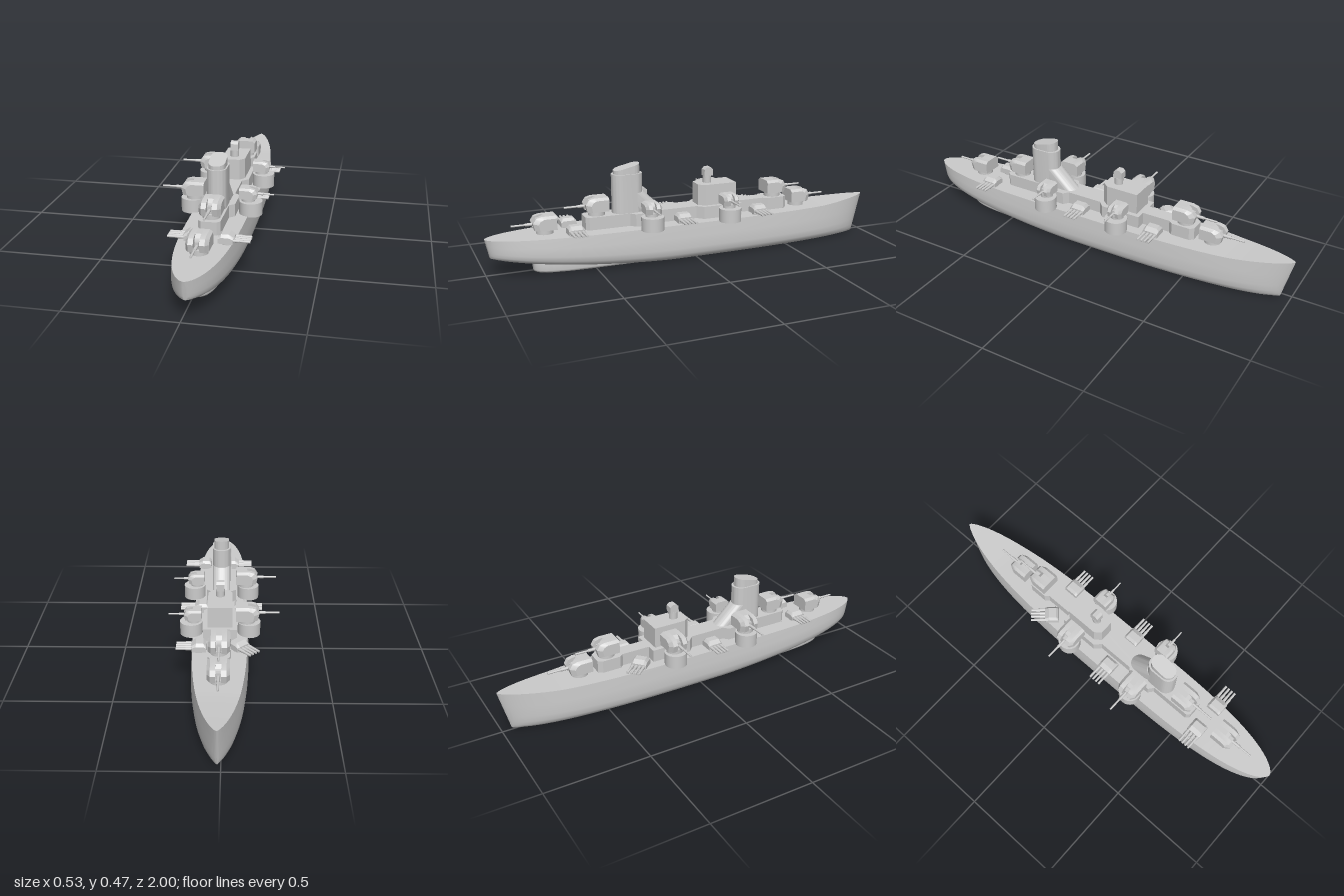
import * as THREE from 'three';
import { toCreasedNormals } from 'three/addons/utils/BufferGeometryUtils.js';

const grey = new THREE.MeshStandardMaterial({ color: 0xcccccc });

function add(parent, name, geometry, x = 0, y = 0, z = 0) {
  const mesh = new THREE.Mesh(geometry, grey);
  mesh.name = name;
  mesh.position.set(x, y, z);
  parent.add(mesh);
  return mesh;
}

// Skin closed rings of [x, y, z] points; optionally cap both ends with fans.
function loft(rings, crease, caps) {
  const n = rings[0].length, last = rings.length - 1, idx = [];
  for (let i = 0; i < last; i++) {
    for (let j = 0; j < n; j++) {
      const k = (j + 1) % n, a = i * n + j, b = i * n + k;
      idx.push(a, b, a + n, b, b + n, a + n);
    }
  }
  if (caps) {
    for (let j = 1; j < n - 1; j++) {
      idx.push(0, j + 1, j, last * n, last * n + j, last * n + j + 1);
    }
  }
  const g = new THREE.BufferGeometry();
  g.setAttribute('position', new THREE.Float32BufferAttribute(rings.flat(2), 3));
  g.setIndex(idx);
  return toCreasedNormals(g, crease);
}

// Upright prism from a plan outline given as x, z.
function prism(shape, y0, y1, bevel = 0) {
  const g = new THREE.ExtrudeGeometry(shape, {
    depth: y1 - y0 - 2 * bevel, curveSegments: 16, bevelEnabled: bevel > 0,
    bevelSize: bevel, bevelThickness: bevel, bevelOffset: -bevel, bevelSegments: 3,
  });
  g.rotateX(Math.PI / 2).translate(0, y1 - bevel, 0);
  return toCreasedNormals(g, 0.6);
}

function outline(pts) {
  return new THREE.Shape(pts.map(p => new THREE.Vector2(...p)));
}

// Plan with straight sides and round ends.
function stadium(r, z0, z1) {
  const s = new THREE.Shape();
  s.absarc(0, z1 - r, r, 0, Math.PI);
  s.absarc(0, z0 + r, r, Math.PI, 2 * Math.PI);
  return s;
}

function bendVertices(g, rule) {
  const p = g.attributes.position, v = new THREE.Vector3();
  for (let i = 0; i < p.count; i++) {
    rule(v.fromBufferAttribute(p, i));
    p.setXYZ(i, v.x, v.y, v.z);
  }
  g.computeVertexNormals();
  return toCreasedNormals(g, 0.6);
}

const cylinder = (r, h, seg = 32) => new THREE.CylinderGeometry(r, r, h, seg);

// Hull: half sections, keel to deck edge, as fractions of beam and depth.
function hullGeometry() {
  const mid = [[0, 0], [0.6, 0], [0.77, 0.025], [0.9, 0.09], [0.97, 0.19], [1, 0.35], [0.985, 0.65], [0.95, 1]];
  const rings = [], count = 64;
  for (let i = 0; i <= count; i++) {
    const z = -Math.cos(Math.PI * i / count), u = Math.min(1, Math.abs(z));
    const w = 0.138 * (z < 0 ? Math.pow(1 - u ** 3, 0.72) : Math.pow(1 - u ** 4, 0.58));
    const top = 0.18 + 0.02 * Math.max(0, (-z - 0.7) / 0.3) ** 1.3;
    const bottom = 0.09 * Math.max(0, (z - 0.1) / 0.9) ** 1.6;
    const rake = (z < 0 ? 0.05 : 0.02) * u ** 6;
    const half = mid.map(([fx, fy]) =>
      [fx * w, bottom + (top - bottom) * fy, z * (1 - rake * (1 - fy))]);
    const other = half.slice(1).reverse().map(([x, y, zz]) => [-x, y, zz]);
    rings.push([...half, ...other]);
  }
  return loft(rings, 0.6, false);
}

// Armoured housing: side profiles [z, y] placed across x.
function housing(sections) {
  return loft(sections.map(([x, prof]) => prof.map(([z, y]) => [x, y, z])), 0.35, true);
}

function barrel(parent, name, x, y, z0, z1, r) {
  add(parent, name, cylinder(r, z1 - z0, 12).rotateX(Math.PI / 2), x, y, (z0 + z1) / 2);
}

// Gun turret facing +z with a slotted front
function turret(name, x, y, z, yaw, scale = 1) {
  const t = new THREE.Group();
  t.name = name;
  const full = [[-0.05, 0], [-0.05, 0.065], [0.02, 0.065], [0.045, 0.058], [0.06, 0.035], [0.052, 0]];
  const slot = [[-0.05, 0], [-0.05, 0.065], [0.005, 0.065], [0.022, 0.05], [0.03, 0.03], [0.03, 0]];
  const cheek = [[-0.05, 0], [-0.05, 0.054], [0.01, 0.054], [0.028, 0.045], [0.036, 0.03], [0.03, 0]];
  add(t, 'turretHousing', housing([
    [-0.05, cheek], [-0.036, full], [-0.013, full], [-0.013, slot],
    [0.013, slot], [0.013, full], [0.036, full], [0.05, cheek],
  ]), 0, 0.022, 0);
  add(t, 'turretPedestal', cylinder(0.04, 0.024), 0, 0.012, 0);
  add(t, 'gunCradle', new THREE.BoxGeometry(0.018, 0.03, 0.03), 0, 0.05, 0.03);
  barrel(t, 'gunSleeve', 0, 0.047, 0.03, 0.09, 0.0075);
  barrel(t, 'gunBarrel', 0, 0.047, 0.08, 0.155, 0.0048);
  t.position.set(x, y, z);
  t.rotation.y = yaw;
  t.scale.setScalar(scale);
  return t;
}

// Light mount with four barrels side by side
function quadMount(x, z, yaw) {
  const m = new THREE.Group();
  m.name = 'quadGunMount';
  const full = [[-0.035, 0], [-0.035, 0.028], [-0.022, 0.04], [0.012, 0.04], [0.034, 0.026], [0.034, 0]];
  const side = [[-0.035, 0], [-0.035, 0.02], [-0.022, 0.027], [0.012, 0.027], [0.03, 0.02], [0.03, 0]];
  add(m, 'mountBase', cylinder(0.03, 0.012, 24), 0, 0.006, 0);
  add(m, 'mountHousing', housing([[-0.037, side], [-0.026, full], [0.026, full], [0.037, side]]), 0, 0.008, 0);
  for (let i = 0; i < 4; i++) {
    const bx = (i - 1.5) * 0.018;
    barrel(m, 'lightGunSleeve', bx, 0.022, 0.02, 0.06, 0.0075);
    barrel(m, 'lightGunBarrel', bx, 0.022, 0.05, 0.104, 0.006);
  }
  m.position.set(x, 0.18, z);
  m.rotation.y = yaw;
  return m;
}

export function createModel() {
  const ship = new THREE.Group();
  ship.name = 'warship';
  const body = new THREE.Group();
  body.name = 'shipBody';
  body.position.x = 0.016;
  ship.add(body);

  // Hull and the keel block with its rounded after end
  add(body, 'hull', hullGeometry());
  const keel = new THREE.Shape();
  keel.moveTo(-0.085, 0.1);
  keel.lineTo(0.085, 0.1);
  keel.lineTo(0.08, 0.52);
  keel.bezierCurveTo(0.075, 0.7, 0.055, 0.785, 0, 0.785);
  keel.bezierCurveTo(-0.055, 0.785, -0.075, 0.7, -0.08, 0.52);
  add(body, 'keel', prism(keel, 0.0005, 0.085, 0.012));

  // Deckhouse: chamfered spine, two wide blocks and four round sponsons
  const deck = 0.18, house = 0.241;
  add(body, 'deckhouse', prism(outline([
    [-0.035, -0.52], [0.035, -0.52], [0.05, -0.5], [0.05, -0.41], [0.034, -0.39], [0.034, -0.25],
    [0.08, -0.25], [0.08, -0.05], [0.05, -0.02], [0.05, 0.16], [0.075, 0.18], [0.075, 0.3],
    [0.05, 0.32], [0.05, 0.52], [0.035, 0.535], [-0.035, 0.535], [-0.05, 0.52], [-0.05, 0.32],
    [-0.075, 0.3], [-0.075, 0.18], [-0.05, 0.16], [-0.05, -0.02], [-0.08, -0.05], [-0.08, -0.25],
    [-0.034, -0.25], [-0.034, -0.39], [-0.05, -0.41], [-0.05, -0.5],
  ]), deck - 0.01, house));
  for (const z of [-0.16, 0.24]) {
    for (const s of [-1, 1]) {
      add(body, 'sponson', cylinder(0.054, house - deck + 0.004, 40), s * 0.138, (house + deck) / 2 - 0.002, z);
    }
    body.add(turret('leftSideTurret', 0.126, 0.24, z, Math.PI / 2, 0.77));
    body.add(turret('rightSideTurret', -0.126, 0.24, z, -Math.PI / 2));
  }

  // Bridge with the gun director on top
  add(body, 'bridge', prism(outline([
    [-0.058, -0.228], [0.058, -0.228], [0.058, -0.065], [0.034, -0.035], [-0.034, -0.035], [-0.058, -0.065],
  ]), 0.235, 0.344));
  add(body, 'directorPost', cylinder(0.021, 0.04, 20), 0, 0.36, -0.097);
  const head = [[-0.024, 0], [-0.024, 0.032], [-0.012, 0.043], [0.008, 0.043], [0.02, 0.032], [0.022, 0]];
  add(body, 'directorHead', housing([[-0.019, head], [0.019, head]]), 0, 0.378, -0.097);

  // Funnel, its slanted cap and the leaning uptake ahead of it
  add(body, 'funnel', prism(stadium(0.045, 0.245, 0.395), 0.235, 0.428));
  const cap = bendVertices(prism(stadium(0.038, 0.257, 0.385), 0.42, 0.46), v => {
    if (v.y > 0.44) v.y -= (v.z - 0.321) * 0.23;
  });
  add(body, 'funnelCap', cap);
  const uptake = bendVertices(prism(stadium(0.044, 0.14, 0.29), 0.24, 0.335), v => {
    v.z += (v.y - 0.24) * 1.05;
  });
  add(body, 'funnelUptake', uptake);

  // Centreline turrets, the inner pair raised on the deckhouse
  body.add(turret('sternTurret', 0, 0.18, 0.722, 0));
  body.add(turret('raisedSternTurret', 0, house, 0.472, 0));
  body.add(turret('raisedBowTurret', 0, house, -0.46, Math.PI));
  body.add(turret('bowTurret', 0, 0.18, -0.6, Math.PI));

  // Light gun mounts along the deck
  for (const z of [-0.335, 0.067, 0.6]) body.add(quadMount(0.096, z, Math.PI / 2));
  body.add(quadMount(-0.057, 0.6, -Math.PI / 2));
  body.add(quadMount(-0.102, 0.067, -Math.PI / 2));
  body.add(quadMount(-0.09, -0.325, Math.PI + 0.75));

  return ship;
}
